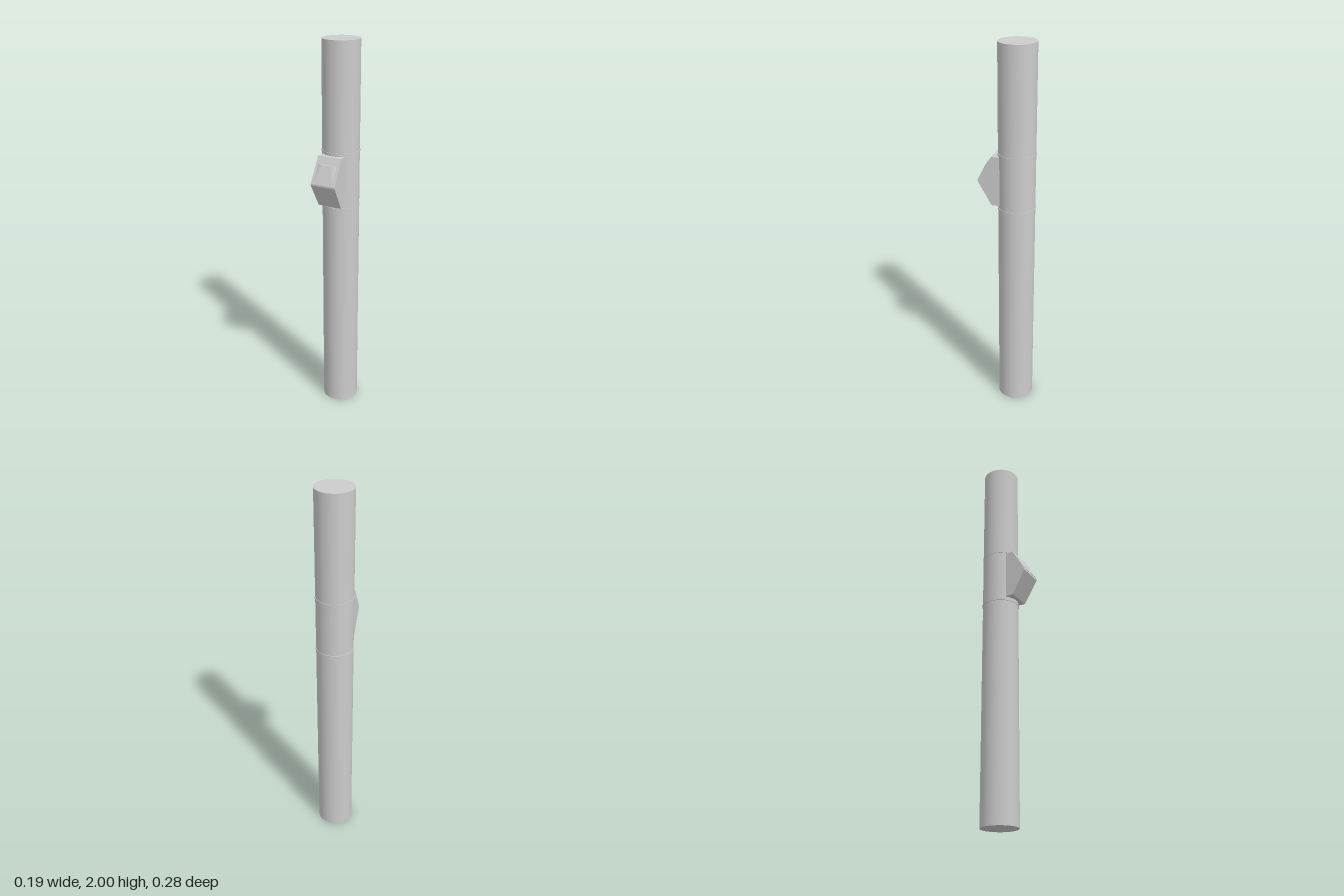
import * as THREE from 'three';
import { ConvexGeometry } from 'three/addons/geometries/ConvexGeometry.js';

export function createModel() {
  const group = new THREE.Group();
  const smooth = new THREE.MeshStandardMaterial({ color: 0xcccccc });
  const flat = new THREE.MeshStandardMaterial({ color: 0xcccccc, flatShading: true });
  const add = (name, geometry, material, x, y, z) => {
    const mesh = new THREE.Mesh(geometry, material);
    mesh.name = name;
    mesh.position.set(x, y, z);
    group.add(mesh);
    return mesh;
  };
  const POLE_Z = -0.045;

  // Round pole
  add('pole', new THREE.CylinderGeometry(0.095, 0.095, 2, 64), smooth, 0, 1, POLE_Z);

  // Thin straps clamping the box to the pole
  for (const [name, y] of [['upperStrap', 1.452], ['lowerStrap', 1.163]]) {
    add(name, new THREE.CylinderGeometry(0.0975, 0.0975, 0.009, 64), smooth, 0, y, POLE_Z);
  }

  // Box with a pointed side profile, slightly wider towards its front edge
  const profile = [[0.027, 1.18], [0.07, 1.18], [0.142, 1.305], [0.142, 1.314], [0.07, 1.44], [0.027, 1.44]];
  const boxPoints = [];
  for (const [z, y] of profile) {
    const half = 0.0632 + (z - 0.027) * 0.04;
    for (const s of [-1, 1]) boxPoints.push(new THREE.Vector3(s * half, y, z));
  }
  add('buttonBox', new ConvexGeometry(boxPoints), flat, -0.0025, 0, 0);

  // Wedge-shaped push plate on the upper slope, with a bowed top edge
  const platePoints = [];
  for (const s of [-1, 1]) {
    for (const [x, y, z] of [
      [0.051, 1.405, 0.084], [0.051, 1.405, 0.092], [0.043, 1.405, 0.096], [0.028, 1.405, 0.1],
      [0.051, 1.32, 0.13], [0.051, 1.32, 0.1405],
    ]) platePoints.push(new THREE.Vector3(s * x, y, z));
  }
  add('pushPlate', new ConvexGeometry(platePoints), flat, -0.0025, 0, 0);

  return group;
}
